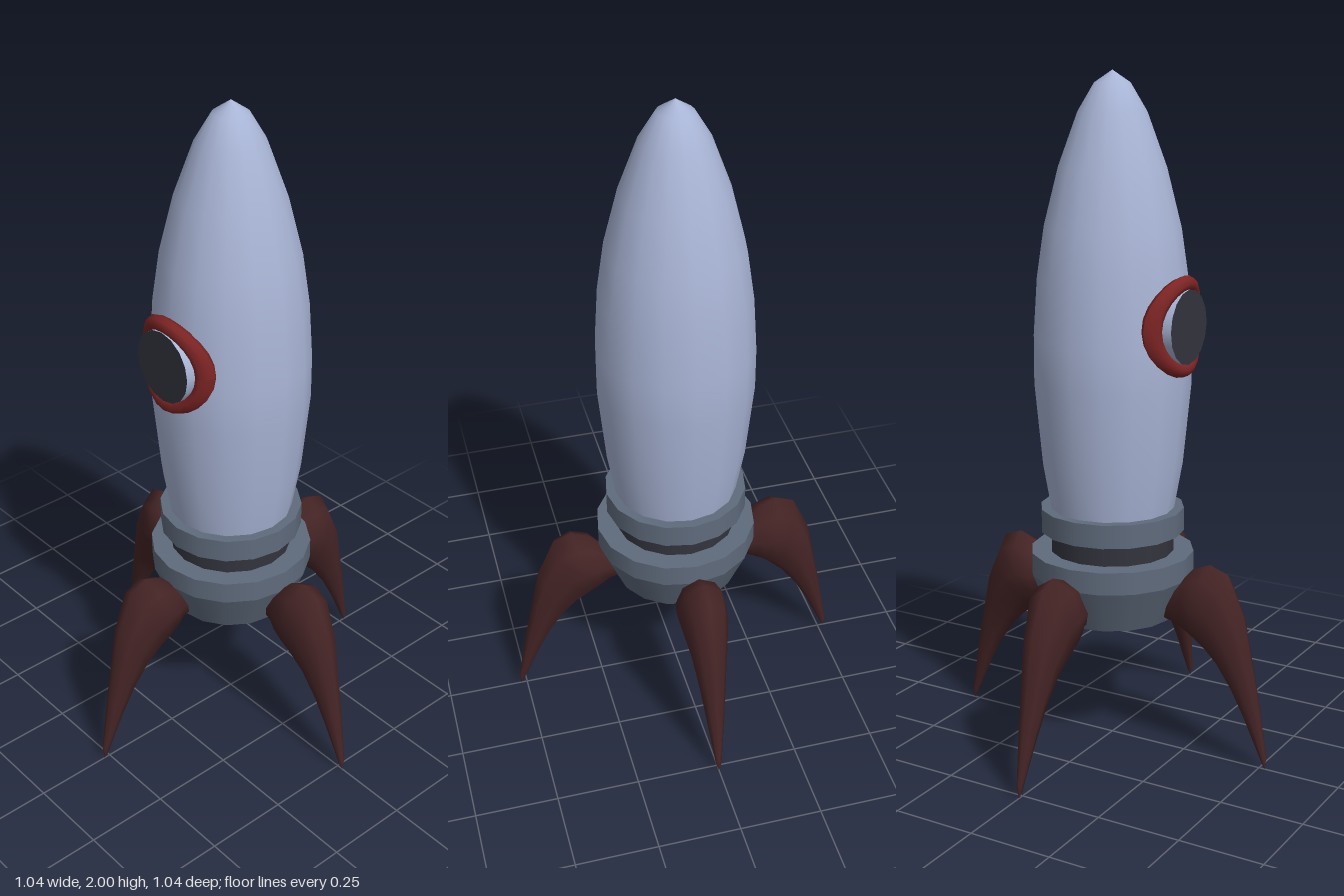
import * as THREE from 'three';

const mat = (name, color) => {
  const m = new THREE.MeshStandardMaterial({ color });
  m.name = name;
  return m;
};

// Tapering claw leg pointing along +x, lofted through elliptical sections
function legGeometry() {
  // outer x, outer y, inner x, inner y, half width
  const sections = [
    [0.15, 0.47, 0.16, 0.41, 0.025],
    [0.235, 0.53, 0.215, 0.40, 0.045],
    [0.275, 0.575, 0.25, 0.385, 0.07],
    [0.33, 0.597, 0.285, 0.36, 0.077],
    [0.386, 0.577, 0.32, 0.33, 0.07],
    [0.44, 0.46, 0.36, 0.29, 0.054],
    [0.465, 0.34, 0.41, 0.22, 0.04],
    [0.49, 0.22, 0.45, 0.145, 0.028],
    [0.522, 0.04, 0.51, 0.015, 0.009],
    [0.519, 0, 0.519, 0, 0],
  ];
  const sides = 8, pos = [], index = [];
  sections.forEach(([ox, oy, ix, iy, w], i) => {
    for (let j = 0; j < sides; j++) {
      const a = (j / sides) * Math.PI * 2, c = Math.cos(a) / 2;
      pos.push((ox + ix) / 2 + (ox - ix) * c, (oy + iy) / 2 + (oy - iy) * c, w * Math.sin(a));
      if (i < sections.length - 1) {
        const p = i * sides + j, q = i * sides + ((j + 1) % sides);
        index.push(p, q, q + sides, p, q + sides, p + sides);
      }
    }
  });
  const g = new THREE.BufferGeometry();
  g.setAttribute('position', new THREE.Float32BufferAttribute(pos, 3));
  g.setIndex(index);
  g.computeVertexNormals();
  return g;
}

export function createModel() {
  const hull = mat('pale blue hull', 0xa9b5d6);
  const steel = mat('slate metal', 0x5f6b7c);
  const dark = mat('dark glass', 0x33343d);
  const red = mat('red rim', 0x7c2424);
  const maroon = mat('maroon legs', 0x452425);

  const model = new THREE.Group();
  model.name = 'rocket';
  const add = (name, geometry, material, y = 0, z = 0) => {
    const mesh = new THREE.Mesh(geometry, material);
    mesh.name = name;
    mesh.position.set(0, y, z);
    model.add(mesh);
    return mesh;
  };
  const ring = (name, top, bottom, y0, y1, material) =>
    add(name, new THREE.CylinderGeometry(top, bottom, y1 - y0, 16), material, (y0 + y1) / 2);

  // Hull
  const profile = [[0.182, 0.71], [0.21, 0.87], [0.233, 1.11], [0.233, 1.24], [0.222, 1.41],
    [0.2, 1.56], [0.157, 1.73], [0.1, 1.885], [0.052, 1.965], [0, 2]]
    .map(([x, y]) => new THREE.Vector2(x, y));
  add('hull', new THREE.LatheGeometry(profile, 16), hull);

  // Stacked engine section
  ring('collar', 0.215, 0.215, 0.66, 0.73, steel);
  ring('neck', 0.185, 0.185, 0.59, 0.67, dark);
  ring('baseBand', 0.245, 0.245, 0.53, 0.597, steel);
  ring('baseTaper', 0.245, 0.19, 0.4, 0.53, steel);

  // Porthole rim, bent to follow the hull
  const rim = new THREE.TorusGeometry(0.124, 0.022, 8, 24);
  const p = rim.attributes.position;
  for (let i = 0; i < p.count; i++) {
    p.setZ(i, p.getZ(i) + Math.sqrt(0.235 ** 2 - p.getX(i) ** 2));
  }
  rim.computeVertexNormals();
  add('portholeRim', rim, red, 1.29);

  // Porthole plug with a dark front
  const pane = new THREE.CylinderGeometry(0.108, 0.108, 0.08, 16);
  pane.rotateX(Math.PI / 2);
  add('portholeGlass', pane, [hull, dark, hull], 1.29, 0.212);

  // Four legs
  const leg = legGeometry();
  ['leftLeg', 'backLeg', 'rightLeg', 'frontLeg'].forEach((name, i) => {
    add(name, leg, maroon).rotation.y = (i * Math.PI) / 2;
  });

  return model;
}
